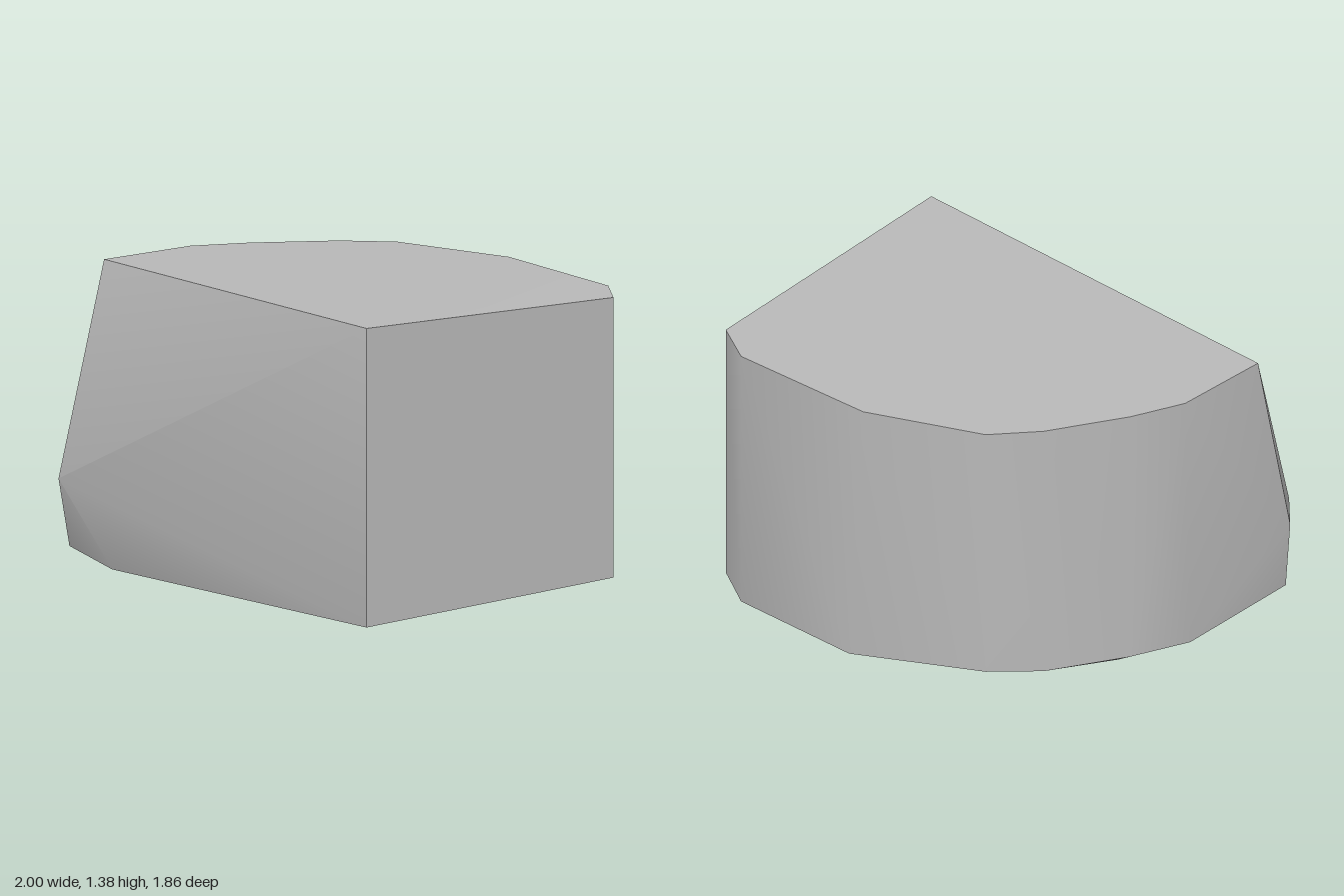
import * as THREE from 'three';
import { ConvexGeometry } from 'three/addons/geometries/ConvexGeometry.js';
import { toCreasedNormals } from 'three/addons/utils/BufferGeometryUtils.js';

export function createModel() {
  const group = new THREE.Group();
  group.name = 'block';
  const gray = new THREE.MeshStandardMaterial({ color: 0xb8b8b8 });
  gray.name = 'plain gray';

  // Top rim (x, z): level except for the raised front corner
  const rim = [
    [-0.975, 0.58], [-0.955, 0.11], [-0.845, -0.14], [-0.635, -0.49],
    [-0.46, -0.685], [0.08, -0.91], [0.8, -0.93], [1, -0.81],
  ].map(([x, z]) => [x, 1.332, z]);
  rim.push([1, 1.385, 0.58]);

  // Bulge on the front corner
  const bulge = [[-1, 0.39, 0.77], [-0.85, 0.39, 0.93]];

  // Underside, with a small bevel along the curved back
  const base = [
    [1, 0, 0.58], [-0.6, 0, 0.815], [-0.955, 0.038, 0.79], [-0.95, 0.035, 0.15],
    [-0.845, 0.05, -0.14], [-0.8, 0.03, -0.17], [-0.635, 0.05, -0.49],
    [-0.545, 0.03, -0.53], [-0.46, 0.065, -0.685], [0.15, 0.018, -0.927],
    [0.8, 0.022, -0.93], [1, 0.035, -0.81],
  ];

  // Convex body, smooth around the back and sharp at the rims
  const points = [...rim, ...bulge, ...base].map((p) => new THREE.Vector3(...p));
  const geometry = toCreasedNormals(new ConvexGeometry(points), THREE.MathUtils.degToRad(40));
  const body = new THREE.Mesh(geometry, gray);
  body.name = 'body';
  group.add(body);
  return group;
}
